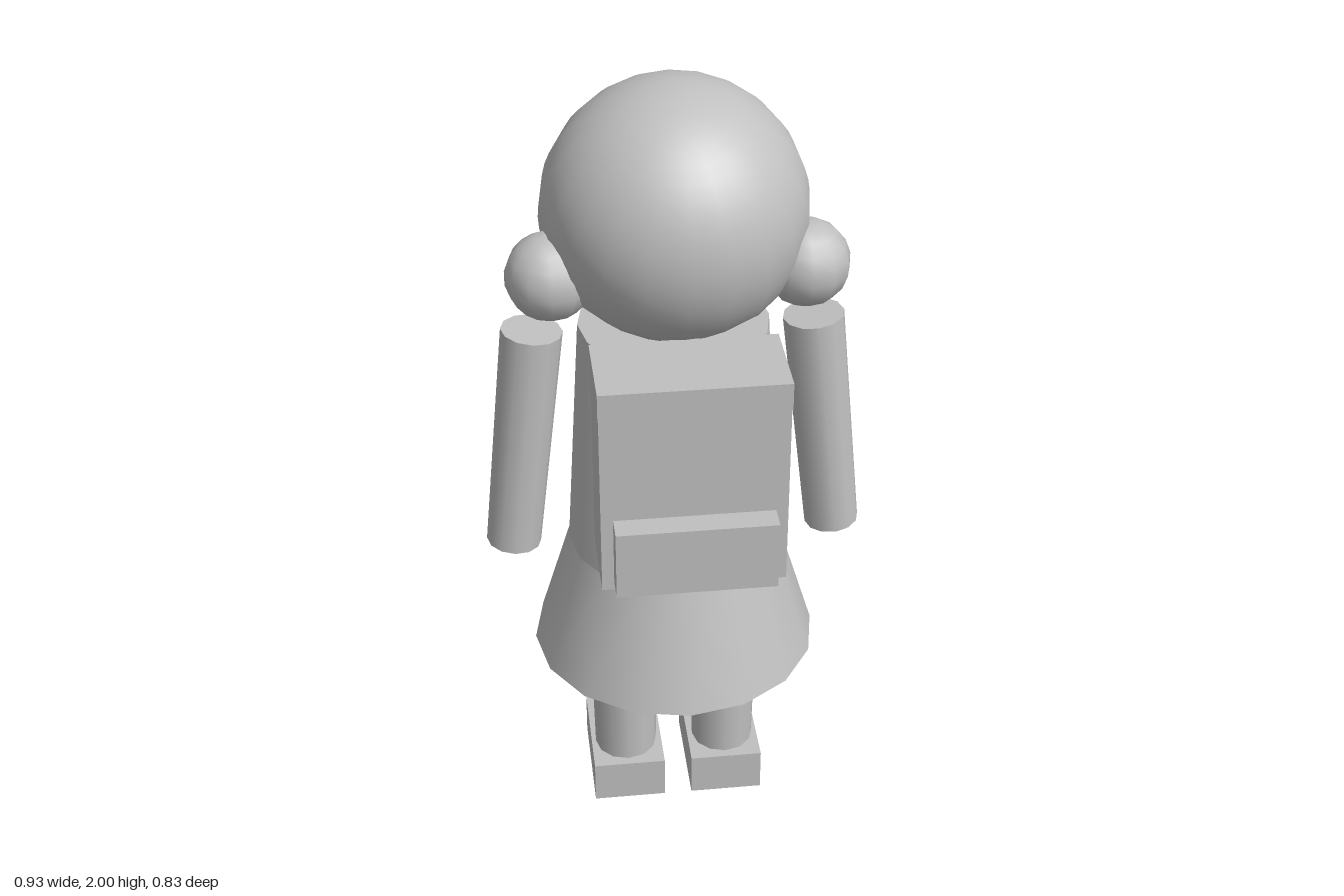
import * as THREE from 'three';

export function createModel() {
  const model = new THREE.Group();
  model.name = 'childWithBackpack';
  const grey = new THREE.MeshStandardMaterial({ color: 0xc0c0c0, side: THREE.DoubleSide });
  grey.name = 'grey';

  const add = (name, geometry, x, y, z) => {
    const mesh = new THREE.Mesh(geometry, grey);
    mesh.name = name;
    mesh.position.set(x, y, z);
    model.add(mesh);
    return mesh;
  };
  const box = (name, w, h, d, x, y, z) => add(name, new THREE.BoxGeometry(w, h, d), x, y, z);
  const ball = (name, r, x, y, z, seg = 12) =>
    add(name, new THREE.SphereGeometry(r, seg, Math.max(8, seg * 0.75)), x, y, z);
  const tube = (name, rTop, rBottom, h, seg, x, y, z) =>
    add(name, new THREE.CylinderGeometry(rTop, rBottom, h, seg), x, y, z);

  const bodyZ = -0.056;
  const headY = 1.692, headZ = -0.038;

  // Dress: bodice and flared skirt
  tube('bodice', 0.225, 0.261, 0.6, 16, 0, 1.098, bodyZ);
  tube('skirt', 0.261, 0.355, 0.31, 16, 0, 0.643, bodyZ);

  // Head with a hair cap tilted down at the back
  ball('head', 0.298, 0, headY, headZ, 24);
  const cap = new THREE.SphereGeometry(0.306, 20, 16, 0, Math.PI * 2, 0, THREE.MathUtils.degToRad(111.5));
  add('hair', cap, 0, headY, headZ).rotation.x = THREE.MathUtils.degToRad(20);

  // Smile
  const smile = new THREE.TorusGeometry(0.07, 0.012, 8, 16, Math.PI);
  add('smile', smile, 0, 1.603, -0.33).rotation.z = Math.PI;

  // Paired parts
  for (const s of [-1, 1]) {
    const side = s > 0 ? 'left' : 'right';
    ball(side + 'HairBun', 0.102, s * 0.289, 1.583, 0.042);
    ball(side + 'Eye', 0.029, s * 0.1, 1.7, -0.329, 10);
    ball(side + 'Cheek', 0.039, s * 0.172, 1.598, -0.286, 10);

    const arm = tube(side + 'Arm', 0.073, 0.067, 0.594, 12, s * 0.364, 1.096, bodyZ);
    arm.rotation.z = s * 0.112;

    tube(side + 'Leg', 0.088, 0.08, 0.4, 12, s * 0.129, 0.305, -0.058);
    box(side + 'Shoe', 0.185, 0.115, 0.285, s * 0.128, 0.0575, -0.098);
    box(side + 'Strap', 0.07, 0.51, 0.022, s * 0.145, 1.185, 0.153);
  }

  // Backpack
  box('backpack', 0.424, 0.47, 0.2, 0, 1.172, 0.257);
  box('backpackFlap', 0.427, 0.068, 0.215, 0, 1.427, 0.254);
  box('backpackPocket', 0.368, 0.17, 0.07, 0, 1.043, 0.381);

  return model;
}
